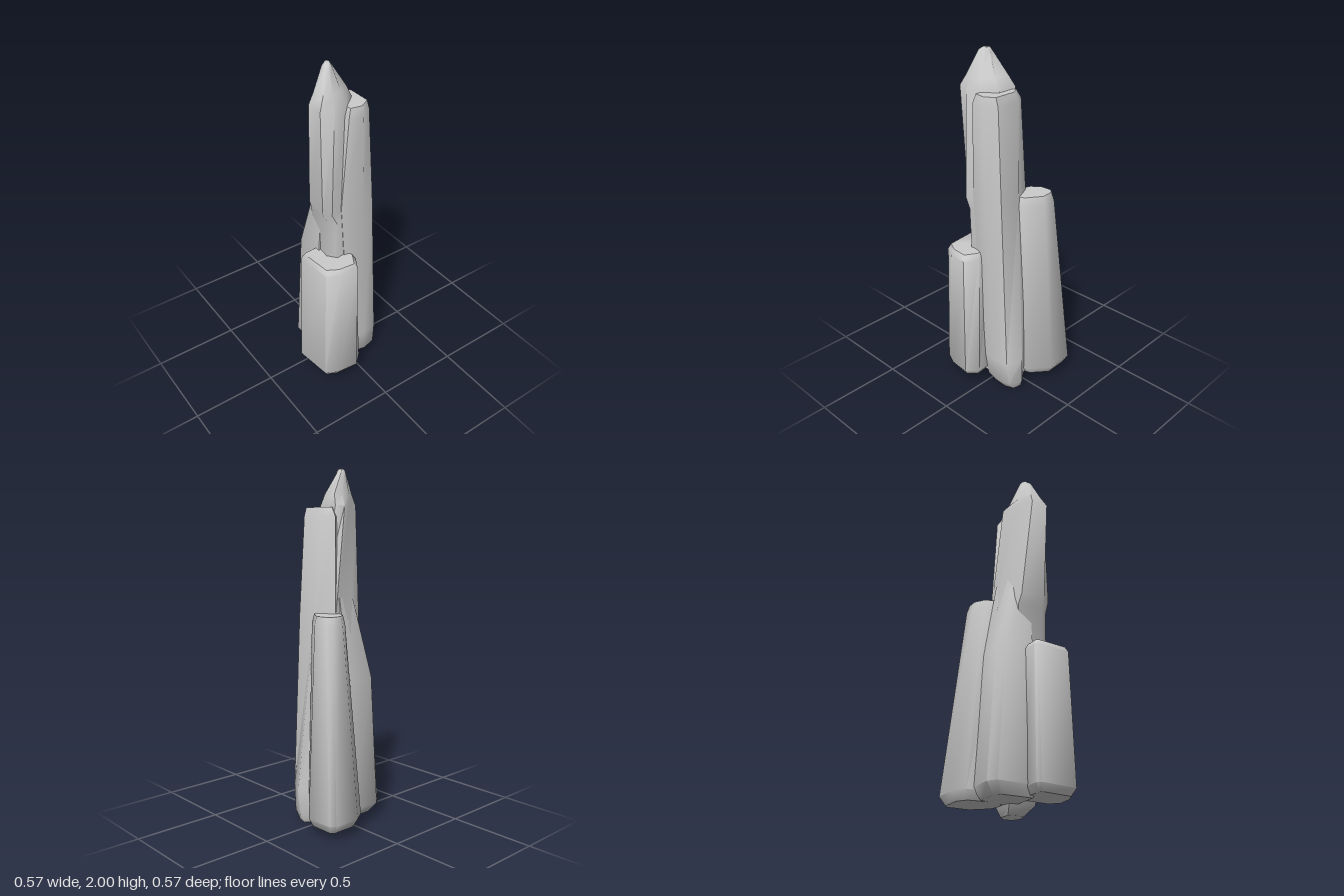
import * as THREE from 'three';
import { toCreasedNormals } from 'three/addons/utils/BufferGeometryUtils.js';

// Skin a stack of rings (listed bottom to top) and close both ends.
// Each ring is { y, p: [[x, z], ...] }, running clockwise as seen from above.
function loft(name, rings, crease = 0.95) {
  const n = rings[0].p.length, pos = [], idx = [];
  for (const r of rings) for (const [x, z] of r.p) pos.push(x, r.y, z);
  for (let k = 0; k < rings.length - 1; k++) {
    for (let i = 0; i < n; i++) {
      const a = k * n + i, b = k * n + (i + 1) % n;
      idx.push(a, a + n, b, b, a + n, b + n);
    }
  }
  const cap = (k, up) => {
    const c = pos.length / 3, { y, p } = rings[k];
    pos.push(p.reduce((s, v) => s + v[0], 0) / n, y, p.reduce((s, v) => s + v[1], 0) / n);
    for (let i = 0; i < n; i++) {
      const a = k * n + i, b = k * n + (i + 1) % n;
      if (up) idx.push(c, b, a); else idx.push(c, a, b);
    }
  };
  cap(0, false);
  cap(rings.length - 1, true);
  const geo = new THREE.BufferGeometry();
  geo.setAttribute('position', new THREE.Float32BufferAttribute(pos, 3));
  geo.setIndex(idx);
  const mesh = new THREE.Mesh(toCreasedNormals(geo, crease),
    new THREE.MeshStandardMaterial({ color: 0xcccccc }));
  mesh.name = name;
  return mesh;
}

// Ring scaled about its own middle, for bevelled ends.
function inset(y, p, s) {
  const cx = p.reduce((t, v) => t + v[0], 0) / p.length;
  const cz = p.reduce((t, v) => t + v[1], 0) / p.length;
  return { y, p: p.map(([x, z]) => [cx + (x - cx) * s, cz + (z - cz) * s]) };
}

// Tapered column between two outlines with bevelled ends.
function column(name, y0, bottom, y1, top, bevel0 = 0.05, bevel1 = 0.04) {
  return loft(name, [
    inset(y0, bottom, 0.8), { y: y0 + bevel0, p: bottom },
    { y: y1 - bevel1, p: top }, inset(y1, top, 0.86),
  ]);
}

export function createModel() {
  const group = new THREE.Group();
  group.name = 'crystalRock';

  // Tall pointed spire
  group.add(loft('spire', [
    { y: 0.07, p: [[-0.14, -0.05], [0, -0.13], [0.13, -0.1], [0.17, 0.03], [0.11, 0.13], [0, 0.15], [-0.09, 0.16], [-0.15, 0.1]] },
    { y: 1.12, p: [[-0.15, -0.03], [-0.03, -0.1], [0.07, -0.085], [0.1, 0.03], [0.06, 0.14], [-0.03, 0.16], [-0.12, 0.165], [-0.155, 0.12]] },
    { y: 1.18, p: [[-0.17, -0.02], [-0.04, -0.09], [0.07, -0.085], [0.1, 0.03], [0.06, 0.14], [-0.04, 0.16], [-0.15, 0.165], [-0.18, 0.12]] },
    { y: 1.8, p: [[-0.2, 0.04], [-0.1, -0.01], [-0.02, -0.06], [0.03, -0.04], [0.03, 0.08], [-0.05, 0.15], [-0.13, 0.16], [-0.2, 0.14]] },
    { y: 1.86, p: [[-0.175, 0.045], [-0.11, 0], [-0.05, -0.01], [0.01, -0.01], [0, 0.08], [-0.06, 0.12], [-0.12, 0.13], [-0.17, 0.12]] },
    { y: 1.985, p: [[-0.125, 0.045], [-0.11, 0.03], [-0.09, 0.02], [-0.075, 0.025], [-0.07, 0.05], [-0.085, 0.075], [-0.11, 0.085], [-0.125, 0.075]] },
    { y: 2.0, p: [[-0.11, 0.045], [-0.1, 0.035], [-0.09, 0.03], [-0.085, 0.03], [-0.08, 0.045], [-0.085, 0.06], [-0.1, 0.065], [-0.11, 0.06]] },
  ]));

  // Broad front column beside the spire
  group.add(loft('frontColumn', [
    { y: 0.0, p: [[0.06, 0.02], [0.14, 0.02], [0.18, 0.06], [0.17, 0.11], [0.12, 0.13], [0.05, 0.11]] },
    { y: 0.05, p: [[0.01, 0], [0.14, -0.01], [0.2, 0.07], [0.17, 0.15], [0.09, 0.17], [0, 0.15]] },
    { y: 0.2, p: [[-0.04, 0], [0.13, -0.04], [0.208, 0.08], [0.165, 0.165], [0.08, 0.18], [-0.03, 0.165]] },
    { y: 1.2, p: [[-0.1, 0], [0.07, -0.085], [0.125, 0.03], [0.12, 0.16], [0.03, 0.195], [-0.09, 0.165]] },
    { y: 1.74, p: [[-0.07, 0.03], [0.05, -0.062], [0.09, 0.0], [0.09, 0.15], [0.02, 0.197], [-0.06, 0.185]] },
    { y: 1.79, p: [[-0.05, 0.05], [0.045, -0.03], [0.075, 0.02], [0.075, 0.15], [0.02, 0.185], [-0.045, 0.175]] },
  ]));

  // Short front column
  group.add(column('shortColumn',
    0.06, [[-0.265, 0.0], [-0.12, 0.0], [-0.01, 0.08], [0, 0.23], [-0.06, 0.287], [-0.185, 0.275], [-0.257, 0.24], [-0.284, 0.02]],
    0.88, [[-0.25, 0.01], [-0.12, 0.0], [-0.04, 0.08], [-0.015, 0.2], [-0.06, 0.28], [-0.17, 0.27], [-0.24, 0.23], [-0.262, 0.025]],
    0.04, 0.03));

  // Middle-height rear column
  group.add(column('rearColumn',
    0.05, [[0.0, -0.05], [0.02, -0.24], [0.09, -0.287], [0.25, -0.287], [0.28, -0.26], [0.284, -0.1], [0.19, 0.01], [0.08, 0.05]],
    1.215, [[0.01, -0.03], [0.05, -0.14], [0.11, -0.185], [0.18, -0.19], [0.21, -0.165], [0.218, -0.08], [0.15, 0.02], [0.08, 0.05]],
    0.05, 0.05));

  // Sloping buttress that runs into the back of the spire
  group.add(loft('rearButtress', [
    { y: 0.05, p: [[-0.15, 0.05], [-0.15, -0.13], [-0.12, -0.16], [0.02, -0.16], [0.08, 0.05]] },
    { y: 0.11, p: [[-0.18, 0.05], [-0.185, -0.17], [-0.14, -0.208], [0.03, -0.2], [0.1, 0.05]] },
    { y: 0.85, p: [[-0.165, 0.05], [-0.17, -0.12], [-0.135, -0.16], [0.03, -0.15], [0.1, 0.05]] },
    { y: 1.3, p: [[-0.13, 0.05], [-0.11, -0.03], [-0.08, -0.06], [0.03, -0.075], [0.08, 0.05]] },
  ]));

  return group;
}
